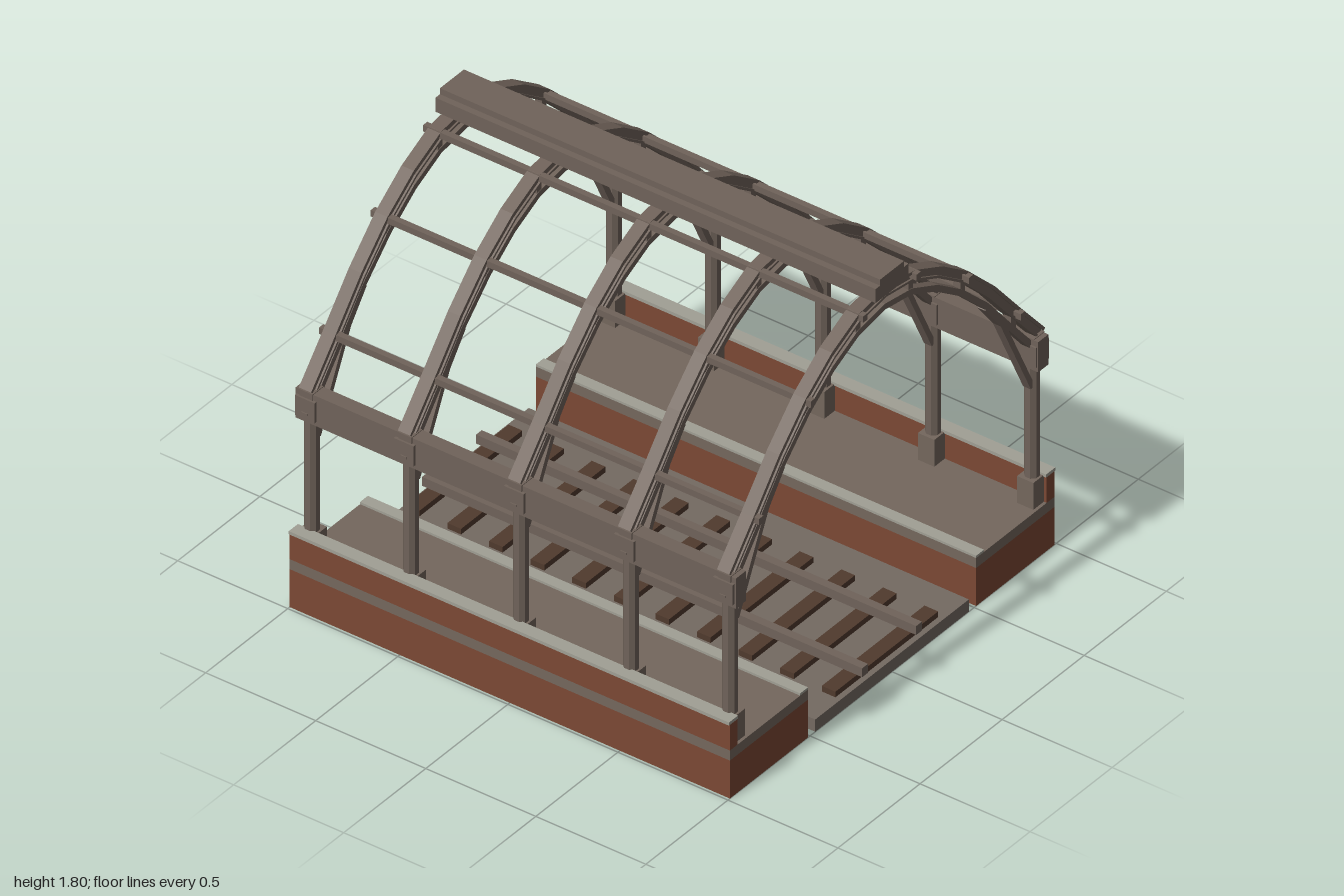
import * as THREE from 'three';

const mat = (name, color) => {
  const m = new THREE.MeshStandardMaterial({ color });
  m.name = name;
  return m;
};

export function createModel() {
  const root = new THREE.Group();
  root.name = 'trainShed';
  const iron = mat('iron', 0x70635a);
  const stone = mat('stone', 0x74675d);
  const gravel = mat('gravel', 0x746a62);
  const brick = mat('brick', 0x7c4834);
  const coping = mat('paleStone', 0xa09f94);
  const wood = mat('timber', 0x503a2d);

  const add = (parent, name, geo, material) => {
    const m = new THREE.Mesh(geo, material);
    m.name = name;
    parent.add(m);
    return m;
  };
  // Box from its minimum and maximum corners
  const box = (parent, name, material, x0, x1, y0, y1, z0, z1) => {
    const m = add(parent, name, new THREE.BoxGeometry(Math.abs(x1 - x0), y1 - y0, z1 - z0), material);
    m.position.set((x0 + x1) / 2, (y0 + y1) / 2, (z0 + z1) / 2);
    return m;
  };
  // Mitred strip along a path in x and y, between two offsets from it, centred on z
  const band = (parent, name, path, lo, hi, depth) => {
    const pts = path.map(p => new THREE.Vector2(...p));
    const normal = (a, b) => new THREE.Vector2(a.y - b.y, b.x - a.x).normalize();
    const offset = d => pts.map((p, i) => {
      const n0 = i ? normal(pts[i - 1], p) : normal(p, pts[1]);
      const n1 = i < pts.length - 1 ? normal(p, pts[i + 1]) : n0;
      const n = n0.clone().add(n1).normalize();
      return p.clone().addScaledVector(n, d / n.dot(n0));
    });
    const shape = new THREE.Shape([...offset(lo), ...offset(hi).reverse()]);
    const geo = new THREE.ExtrudeGeometry(shape, { depth, bevelEnabled: false });
    geo.translate(0, 0, -depth / 2);
    return add(parent, name, geo, iron);
  };
  const mirrorPath = half => [...half.map(([x, y]) => [-x, y]).reverse(), ...half.slice(1)];

  const ribZ = [-0.95, -0.5, 0, 0.5, 0.95];

  // Track bed, sleepers and rails
  const track = new THREE.Group();
  track.name = 'track';
  root.add(track);
  box(track, 'trackBed', gravel, -0.468, 0.468, 0, 0.055, -1, 1);
  for (let i = -5; i <= 5; i++) {
    box(track, 'sleeper', wood, -0.313, 0.313, 0.055, 0.08, i * 0.189 - 0.031, i * 0.189 + 0.031);
  }
  for (const s of [-1, 1]) box(track, 'rail', iron, s * 0.147, s * 0.182, 0.08, 0.12, -1, 1);

  // Platforms with outer walls, columns and eaves, one on each side
  for (const s of [-1, 1]) {
    const side = new THREE.Group();
    side.name = s > 0 ? 'leftSide' : 'rightSide';
    root.add(side);
    box(side, 'platformBase', brick, s * 0.512, s * 0.988, 0, 0.17, -1, 1);
    box(side, 'platformSlab', stone, s * 0.512, s * 0.988, 0.17, 0.215, -1, 1);
    box(side, 'platformEdge', coping, s * 0.512, s * 0.56, 0.215, 0.225, -1, 1);
    box(side, 'outerWall', brick, s * 0.942, s * 0.988, 0.215, 0.33, -1, 1);
    box(side, 'wallCoping', coping, s * 0.938, s * 0.994, 0.33, 0.344, -1, 1);
    box(side, 'eaveBeam', iron, s * 0.89, s * 0.952, 0.83, 0.965, -1, 1);
    for (const z of ribZ) {
      box(side, 'pedestal', stone, s * 0.878, s * 0.945, 0.215, 0.335, z - 0.037, z + 0.037);
      const column = add(side, 'column', new THREE.CylinderGeometry(0.03, 0.03, 0.5, 8)
        .rotateY(Math.PI / 8).toNonIndexed(), iron);
      column.geometry.computeVertexNormals();
      column.position.set(s * 0.92, 0.585, z);
      box(side, 'eavePlate', iron, s * 0.882, s * 0.964, 0.85, 0.94, z - 0.045, z + 0.045);
      box(side, 'plateBolt', iron, s * 0.964, s * 0.968, 0.87, 0.88, z - 0.013, z + 0.013);
      box(side, 'ribFoot', iron, s * 0.89, s * 0.956, 0.94, 0.968, z - 0.03, z + 0.03);
    }
    for (const [x, y] of [[0.163, 1.68], [0.482, 1.482], [0.797, 1.137]]) {
      box(side, 'purlin', iron, s * (x - 0.013), s * (x + 0.013), y - 0.014, y + 0.014, -1, 1);
    }
  }

  // Arched ribs: flanged outer chord, thinner inner chord, posts and knee braces
  const outer = mirrorPath([[0, 1.695], [0.163, 1.672], [0.325, 1.595], [0.482, 1.482],
    [0.64, 1.325], [0.797, 1.137], [0.945, 0.965]]);
  const inner = mirrorPath([[0, 1.623], [0.16, 1.598], [0.315, 1.525], [0.468, 1.415],
    [0.62, 1.268], [0.765, 1.09], [0.89, 0.94]]);
  for (const z of ribZ) {
    const rib = new THREE.Group();
    rib.name = 'rib';
    rib.position.z = z;
    root.add(rib);
    band(rib, 'outerFlange', outer, 0.01, 0.023, 0.056);
    band(rib, 'outerWeb', outer, -0.014, 0.01, 0.034);
    band(rib, 'lowerFlange', outer, -0.024, -0.014, 0.05);
    band(rib, 'innerChord', inner, -0.013, 0.013, 0.036);
    for (const s of [-1, 1]) {
      for (const [x, y0, y1] of [[0.16, 1.6, 1.67], [0.475, 1.41, 1.48], [0.785, 1.07, 1.15]]) {
        box(rib, 'post', iron, s * (x - 0.014), s * (x + 0.014), y0, y1, -0.016, 0.016);
      }
      const knee = [[-0.9, 0.745], [-0.715, 1.135], [-0.62, 1.26]];
      band(rib, 'kneeBrace', s < 0 ? knee : knee.map(([x, y]) => [-x, y]).reverse(), -0.012, 0.012, 0.036);
    }
  }

  // Ridge cap along the crown
  box(root, 'ridgeBase', iron, -0.1, 0.1, 1.71, 1.773, -1, 1);
  box(root, 'ridgeTop', iron, -0.073, 0.073, 1.773, 1.8, -1, 1);
  return root;
}
